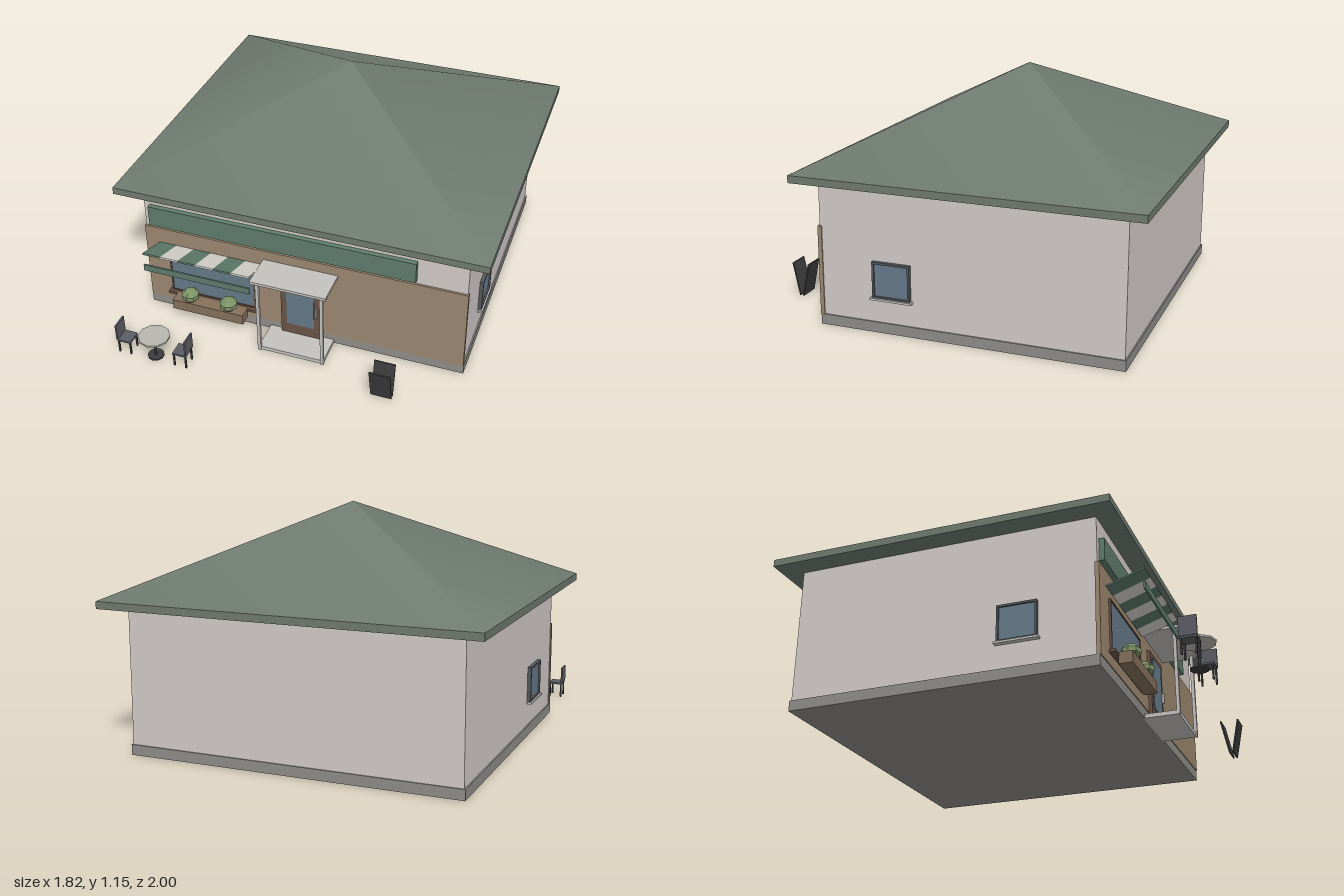
import * as THREE from 'three';

const mat = (color, flatShading = false) => new THREE.MeshStandardMaterial({ color, flatShading });
const M = {
  wall: mat(0xd2cbc9), stone: mat(0x8f8d8a), brown: mat(0x9c8870), roof: mat(0x6f7b70),
  green: mat(0x5f7d6d), cream: mat(0xdcdad2), glass: mat(0x667a8a), frame: mat(0x6b5347),
  metal: mat(0xc4c2bf), dark: mat(0x3c3c3e), chair: mat(0x5c5e66), trim: mat(0x85705a),
  leaf: mat(0x7f9468, true), top: mat(0xb9b6b0, true), windowFrame: mat(0x55595c),
};

// Mesh with a name, added to its parent
function add(parent, name, geometry, material, x = 0, y = 0, z = 0) {
  const mesh = new THREE.Mesh(geometry, material);
  mesh.name = name;
  mesh.position.set(x, y, z);
  parent.add(mesh);
  return mesh;
}

// Box given by its limits on each axis
function box(parent, name, material, [x0, x1], [y0, y1], [z0, z1]) {
  return add(parent, name, new THREE.BoxGeometry(x1 - x0, y1 - y0, z1 - z0), material,
    (x0 + x1) / 2, (y0 + y1) / 2, (z0 + z1) / 2);
}

// Thin board running between two (z, y) points
function slopedBoard(parent, name, material, [x0, x1], [zA, yA], [zB, yB], thickness) {
  const board = add(parent, name,
    new THREE.BoxGeometry(x1 - x0, thickness, Math.hypot(zB - zA, yB - yA)), material,
    (x0 + x1) / 2, (yA + yB) / 2, (zA + zB) / 2);
  board.rotation.x = -Math.atan2(yB - yA, zB - zA);
  return board;
}

function part(parent, name, x = 0, y = 0, z = 0) {
  const group = new THREE.Group();
  group.name = name;
  group.position.set(x, y, z);
  parent.add(group);
  return group;
}

function addBuilding(root) {
  const g = part(root, 'building');
  box(g, 'walls', M.wall, [-0.805, 0.805], [0.04, 0.71], [-0.9, 0.55]);
  box(g, 'plinth', M.stone, [-0.812, 0.812], [0, 0.05], [-0.906, 0.556]);
  box(g, 'frontCladding', M.brown, [-0.81, 0.81], [0.05, 0.48], [0.54, 0.56]);
  box(g, 'signBoard', M.green, [-0.775, 0.565], [0.5, 0.608], [0.55, 0.575]);

  // Roof: eaves slab with a four-sided peak
  box(g, 'eaves', M.roof, [-0.91, 0.91], [0.7, 0.735], [-1, 0.645]);
  const peak = new THREE.ConeGeometry(Math.SQRT1_2, 0.415, 4, 1, true);
  peak.rotateY(Math.PI / 4);
  peak.scale(1.82, 1, 1.645);
  add(g, 'roofPeak', peak, M.roof, 0, 0.9425, -0.1775);

  // Louvred vent under the eaves
  box(g, 'vent', M.metal, [-0.18, -0.03], [0.658, 0.7], [0.55, 0.557]);
  for (let i = 0; i < 3; i++) {
    const y = 0.666 + i * 0.012;
    box(g, 'ventSlat', M.wall, [-0.172, -0.038], [y, y + 0.005], [0.555, 0.561]);
  }
}

// Rectangular ring of four bars facing +z
function frameBars(g, name, material, [x0, x1], [y0, y1], z, w) {
  box(g, name, material, [x0, x1], [y1 - w, y1], z);
  box(g, name, material, [x0, x1], [y0, y0 + w], z);
  box(g, name, material, [x0, x0 + w], [y0 + w, y1 - w], z);
  box(g, name, material, [x1 - w, x1], [y0 + w, y1 - w], z);
}

function addOpenings(root) {
  const front = part(root, 'frontWindow');
  box(front, 'glass', M.glass, [-0.68, -0.245], [0.12, 0.35], [0.555, 0.566]);
  frameBars(front, 'windowFrame', M.frame, [-0.687, -0.238], [0.115, 0.358], [0.555, 0.57], 0.008);
  box(front, 'sill', M.frame, [-0.7, -0.22], [0.102, 0.116], [0.555, 0.588]);

  const door = part(root, 'door');
  box(door, 'doorLeaf', M.frame, [-0.1, 0.1], [0.02, 0.362], [0.555, 0.576]);
  box(door, 'doorGlass', M.glass, [-0.07, 0.07], [0.08, 0.335], [0.57, 0.58]);
  box(door, 'handle', M.metal, [0.08, 0.088], [0.16, 0.21], [0.57, 0.588]);

  // One window on each side wall
  for (const s of [-1, 1]) {
    const g = part(root, 'sideWindow', s * 0.805, 0, 0.19);
    g.rotation.y = s * Math.PI / 2;
    box(g, 'glass', M.glass, [-0.085, 0.085], [0.18, 0.335], [0, 0.01]);
    frameBars(g, 'windowFrame', M.windowFrame, [-0.093, 0.093], [0.17, 0.344], [0, 0.018], 0.01);
    box(g, 'sill', M.metal, [-0.103, 0.103], [0.162, 0.172], [0, 0.026]);
  }
}

function addAwning(root) {
  const g = part(root, 'awning');
  const width = 0.545 / 6;
  for (let i = 0; i < 6; i++) {
    const x = -0.735 + i * width;
    slopedBoard(g, 'awningStripe', i % 2 ? M.cream : M.green, [x, x + width], [0.565, 0.395], [0.737, 0.452], 0.008);
  }
  box(g, 'valance', M.green, [-0.735, -0.19], [0.353, 0.388], [0.73, 0.738]);
}

function addPorch(root) {
  const g = part(root, 'porch');
  box(g, 'porchRoof', M.metal, [-0.19, 0.187], [0.415, 0.429], [0.55, 0.735]);
  box(g, 'step', M.metal, [-0.165, 0.165], [0, 0.02], [0.55, 0.715]);
  for (const s of [-1, 1])
    box(g, 'porchPost', M.metal, [s * 0.16 - 0.008, s * 0.16 + 0.008], [0, 0.416], [0.705, 0.721]);
}

function addPlanter(root) {
  const g = part(root, 'planter');
  box(g, 'planterBox', M.trim, [-0.65, -0.275], [0.066, 0.12], [0.585, 0.648]);
  for (const x of [-0.565, -0.36]) {
    const bush = add(g, 'bush', new THREE.SphereGeometry(0.047, 8, 5), M.leaf, x, 0.15, 0.617);
    bush.scale.y = 0.75;
  }
}

function addChair(root, x, side) {
  const g = part(root, 'chair', x, 0, 0.92);
  box(g, 'seat', M.chair, [-0.035, 0.035], [0.07, 0.079], [-0.037, 0.037]);
  const back = side * 0.034;
  box(g, 'backrest', M.chair, [back - 0.004, back + 0.004], [0.078, 0.165], [-0.039, 0.039]);
  for (const sx of [-1, 1]) for (const sz of [-1, 1])
    box(g, 'leg', M.dark, [sx * 0.03 - 0.004, sx * 0.03 + 0.004], [0, 0.071], [sz * 0.031 - 0.004, sz * 0.031 + 0.004]);
}

function addTerrace(root) {
  const table = part(root, 'table', -0.615, 0, 0.92);
  add(table, 'tableTop', new THREE.CylinderGeometry(0.077, 0.077, 0.009, 10), M.top, 0, 0.122, 0);
  add(table, 'tableStem', new THREE.CylinderGeometry(0.006, 0.006, 0.115, 8), M.dark, 0, 0.06, 0);
  add(table, 'tableFoot', new THREE.CylinderGeometry(0.04, 0.04, 0.008, 10), M.dark, 0, 0.004, 0);
  addChair(root, -0.762, -1);
  addChair(root, -0.471, 1);

  // Folding pavement board
  const board = part(root, 'pavementBoard');
  slopedBoard(board, 'frontPanel', M.dark, [0.44, 0.542], [0.828, 0.004], [0.863, 0.17], 0.007);
  slopedBoard(board, 'backPanel', M.dark, [0.44, 0.542], [0.812, 0.004], [0.777, 0.17], 0.007);
}

export function createModel() {
  const root = new THREE.Group();
  root.name = 'cafe';
  addBuilding(root);
  addOpenings(root);
  addAwning(root);
  addPorch(root);
  addPlanter(root);
  addTerrace(root);
  return root;
}
